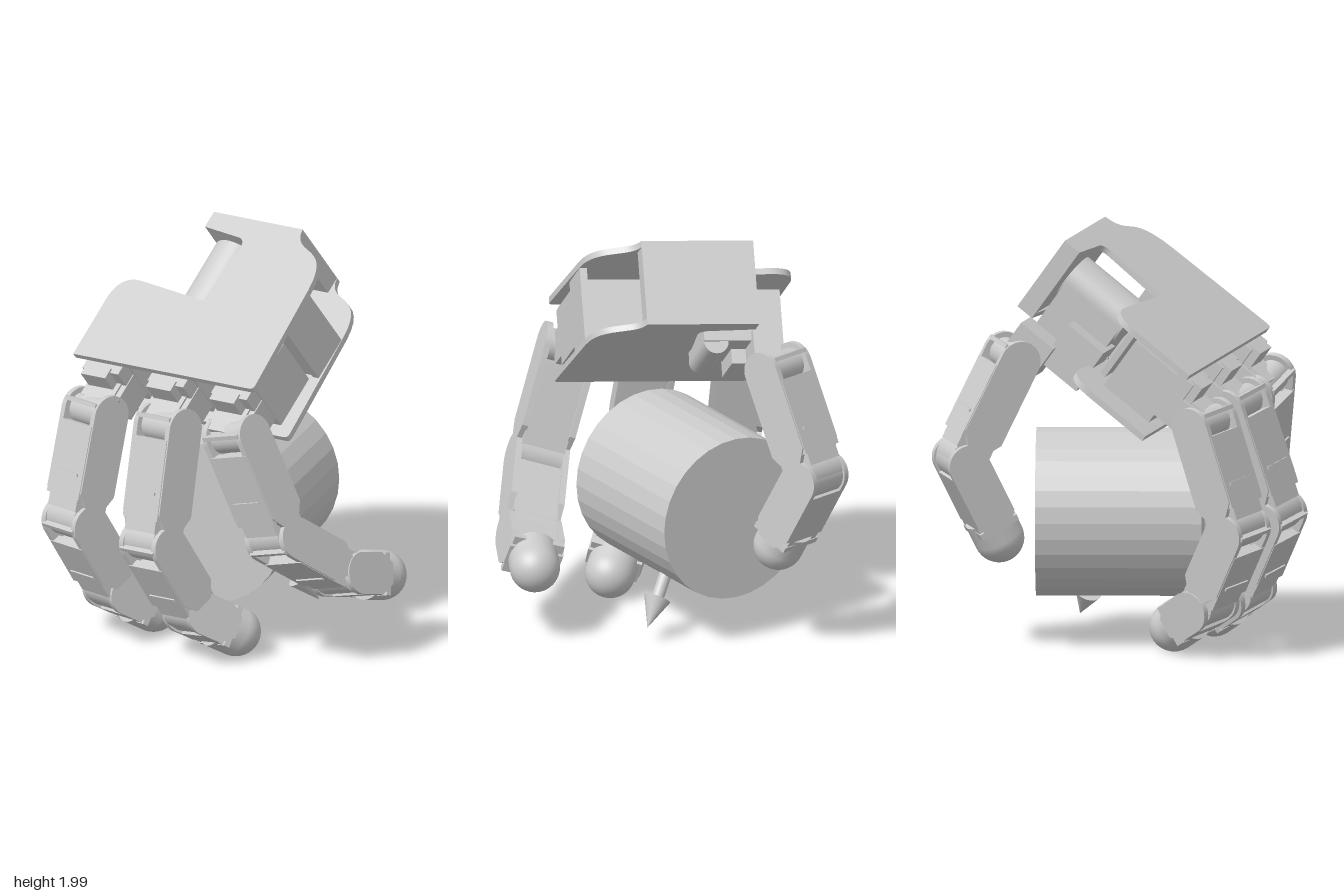
import * as THREE from 'three';
import { toCreasedNormals } from 'three/addons/utils/BufferGeometryUtils.js';

const V = (x, y, z) => new THREE.Vector3(x, y, z);
const grey = new THREE.MeshStandardMaterial({ color: 0xcccccc });
const faceted = new THREE.MeshStandardMaterial({ color: 0xcccccc, flatShading: true });

function add(parent, name, geometry, x = 0, y = 0, z = 0, material = grey) {
  const mesh = new THREE.Mesh(geometry, material);
  mesh.name = name;
  mesh.position.set(x, y, z);
  parent.add(mesh);
  return mesh;
}

// Box given by its minimum and maximum on each axis
function block(parent, name, [x0, x1], [y0, y1], [z0, z1]) {
  return add(parent, name, new THREE.BoxGeometry(x1 - x0, y1 - y0, z1 - z0),
    (x0 + x1) / 2, (y0 + y1) / 2, (z0 + z1) / 2);
}

// Group placed at a point with the given axes
function frame(name, origin, x, y) {
  const g = new THREE.Group();
  const z = x.clone().cross(y).normalize();
  const m = new THREE.Matrix4().makeBasis(y.clone().cross(z).normalize(), y, z);
  g.quaternion.setFromRotationMatrix(m);
  g.position.copy(origin);
  g.name = name;
  return g;
}

function extrude(shape, depth) {
  return toCreasedNormals(
    new THREE.ExtrudeGeometry(shape, { depth, bevelEnabled: false, curveSegments: 12 }), 0.5);
}

// Cylinder lying along x
function pin(radius, length) {
  return new THREE.CylinderGeometry(radius, radius, length, 24).rotateZ(Math.PI / 2);
}

// Side cheek: round at the joint, chamfered at the far end, thickness along x
function cheek(length, r, thick) {
  const s = new THREE.Shape();
  s.absarc(0, 0, r, Math.PI, 2 * Math.PI, false);
  s.lineTo(r, length - r * 0.7);
  s.lineTo(r * 0.5, length);
  s.lineTo(-r * 0.5, length);
  s.lineTo(-r, length - r * 0.7);
  s.closePath();
  return extrude(s, thick).rotateY(Math.PI / 2).translate(-thick / 2, 0, 0);
}

// One finger bone from a to b; -z is the back of the finger
function bone(name, a, b, axis) {
  const dir = b.clone().sub(a), len = dir.length();
  const g = frame(name, a, axis, dir.normalize());
  for (const side of [-1, 1])
    add(g, 'sideCheek', cheek(len - 0.08, 0.1, 0.03), side * 0.118, 0, 0);
  block(g, 'body', [-0.108, 0.108], [0.08, len - 0.06], [-0.096, 0.085]);
  block(g, 'backCover', [-0.125, 0.125], [0.06, len - 0.12], [-0.104, -0.06]);
  block(g, 'coverLip', [-0.09, 0.09], [len * 0.55, len * 0.55 + 0.015], [-0.112, -0.06]);
  block(g, 'yokeRim', [-0.12, 0.12], [-0.05, -0.03], [-0.1, -0.07]);
  add(g, 'jointPin', pin(0.075, 0.22));
  add(g, 'endBarrel', pin(0.096, 0.21), 0, len - 0.02, 0);
  return g;
}

// Fingertip: short housing with a round rubber tip
function tip(a, b, axis) {
  const dir = b.clone().sub(a), len = dir.length();
  const g = frame('fingertip', a, axis, dir.normalize());
  for (const side of [-1, 1])
    add(g, 'sideCheek', cheek(len - 0.06, 0.1, 0.03), side * 0.118, 0, 0);
  block(g, 'body', [-0.108, 0.108], [0.03, len - 0.09], [-0.1, 0.09]);
  block(g, 'endRim', [-0.125, 0.125], [len - 0.1, len - 0.07], [-0.104, 0.1]);
  add(g, 'jointPin', pin(0.09, 0.22));
  add(g, 'sleeve', new THREE.CylinderGeometry(0.12, 0.12, 0.12, 32), 0, len - 0.06, 0);
  add(g, 'roundTip', new THREE.SphereGeometry(0.12, 32, 20), 0, len, 0);
  return g;
}

function finger(name, points) {
  const p = points.map((q) => V(...q));
  const axis = p[1].clone().sub(p[0]).cross(p[2].clone().sub(p[1])).normalize();
  const g = new THREE.Group();
  g.name = name;
  for (let i = 0; i < p.length - 2; i++)
    g.add(bone(i ? 'middleBone' : 'lowerBone', p[i], p[i + 1], axis));
  g.add(tip(p[p.length - 2], p[p.length - 1], axis));
  return g;
}

// Palm outline seen from the back of the hand
function palmShape() {
  const s = new THREE.Shape();
  s.moveTo(-0.545, 0);
  s.lineTo(0, 0);
  s.bezierCurveTo(0.02, 0.16, 0.22, 0.04, 0.232, 0.32);
  s.lineTo(0.255, 0.89);
  s.quadraticCurveTo(0.255, 0.915, 0.23, 0.915);
  s.lineTo(-0.85, 0.915);
  s.lineTo(-0.85, 0.59);
  s.quadraticCurveTo(-0.85, 0.435, -0.71, 0.45);
  s.lineTo(-0.31, 0.49);
  s.lineTo(-0.28, 0.17);
  s.quadraticCurveTo(-0.28, 0.11, -0.34, 0.11);
  s.lineTo(-0.545, 0.09);
  s.closePath();
  return s;
}

const FINGER_X = [-0.69, -0.29, 0.1];

// Palm frame: x across, y out of the back of the hand, z towards the fingers
function palm() {
  const g = frame('palm', V(0.25, 2.0, -0.07), V(0.94, 0.072, 0.334),
    V(-0.257, 0.803, 0.552).normalize());
  for (const [name, y] of [['backPlate', 0], ['palmPlate', -0.385]])
    add(g, name, extrude(palmShape(), 0.03).rotateX(Math.PI / 2), 0, y, 0);
  block(g, 'wristBox', [-0.545, 0], [-0.415, 0], [0, 0.09]);
  block(g, 'sideWall', [0.195, 0.23], [-0.39, -0.02], [0.33, 0.56]);
  block(g, 'crossWall', [-0.6, 0.2], [-0.39, -0.02], [0.52, 0.55]);

  // Finger motors with stepped brackets and necks
  for (const x of FINGER_X) {
    const m = new THREE.Group();
    m.name = 'fingerMotor';
    m.position.x = x;
    g.add(m);
    block(m, 'motorCase', [-0.11, 0.12], [-0.34, -0.06], [0.6, 0.88]);
    block(m, 'motorStep', [-0.11, 0.11], [-0.24, -0.05], [0.86, 0.95]);
    block(m, 'upperTab', [-0.09, 0.06], [-0.14, -0.04], [0.93, 0.99]);
    block(m, 'neck', [-0.085, 0.085], [-0.27, -0.13], [0.93, 1.1]);
    for (const side of [-1, 1])
      block(m, 'neckFlange', [side * 0.1 - 0.015, side * 0.1 + 0.015], [-0.29, -0.14], [0.85, 1.04]);
  }

  // Thumb motor in the palm notch
  add(g, 'thumbMotor', new THREE.CylinderGeometry(0.12, 0.12, 0.36, 32).rotateX(Math.PI / 2),
    -0.42, -0.17, 0.29);
  block(g, 'thumbMotorCase', [-0.54, -0.3], [-0.46, -0.17], [0.12, 0.46]);
  block(g, 'thumbBracket', [-0.62, -0.46], [-0.53, -0.29], [0.26, 0.48]);
  add(g, 'thumbBracketRoll', new THREE.CylinderGeometry(0.06, 0.06, 0.34, 24).rotateX(Math.PI / 2),
    -0.36, -0.46, 0.3);
  block(g, 'thumbNeck', [-0.66, -0.53], [-0.6, -0.42], [0.08, 0.28]);
  return g;
}

// Arrow standing out of the held cylinder
function arrow(from, to) {
  const dir = to.clone().sub(from), len = dir.length();
  const g = new THREE.Group();
  g.name = 'arrow';
  g.position.copy(from);
  g.quaternion.setFromUnitVectors(V(0, 1, 0), dir.normalize());
  add(g, 'shaft', new THREE.CylinderGeometry(0.03, 0.03, len - 0.14, 20), 0, (len - 0.14) / 2, 0);
  add(g, 'head', new THREE.ConeGeometry(0.065, 0.15, 20), 0, len - 0.075, 0);
  return g;
}

export function createModel() {
  const model = new THREE.Group();
  model.name = 'robotHandWithCylinder';
  model.add(palm());
  model.add(finger('rightFinger',
    [[-0.62, 1.14, 0.42], [-0.665, 0.63, 0.575], [-0.52, 0.25, 0.42], [-0.38, 0.13, 0.27]]));
  model.add(finger('middleFinger',
    [[-0.2, 1.17, 0.57], [-0.21, 0.63, 0.745], [-0.06, 0.25, 0.59], [0.1, 0.13, 0.45]]));
  model.add(finger('leftFinger',
    [[0.19, 1.21, 0.69], [0.39, 0.7, 0.645], [0.61, 0.45, 0.36], [0.72, 0.38, 0.13]]));
  model.add(finger('thumb',
    [[-0.245, 1.4, -0.505], [-0.3, 0.91, -0.745], [-0.21, 0.53, -0.565]]));
  add(model, 'heldCylinder',
    new THREE.CylinderGeometry(0.4, 0.4, 0.79, 32).rotateX(Math.PI / 2), -0.08, 0.635, 0.005, faceted);
  model.add(arrow(V(-0.08, 0.635, 0), V(0.29, 0.09, -0.19)));
  return model;
}
